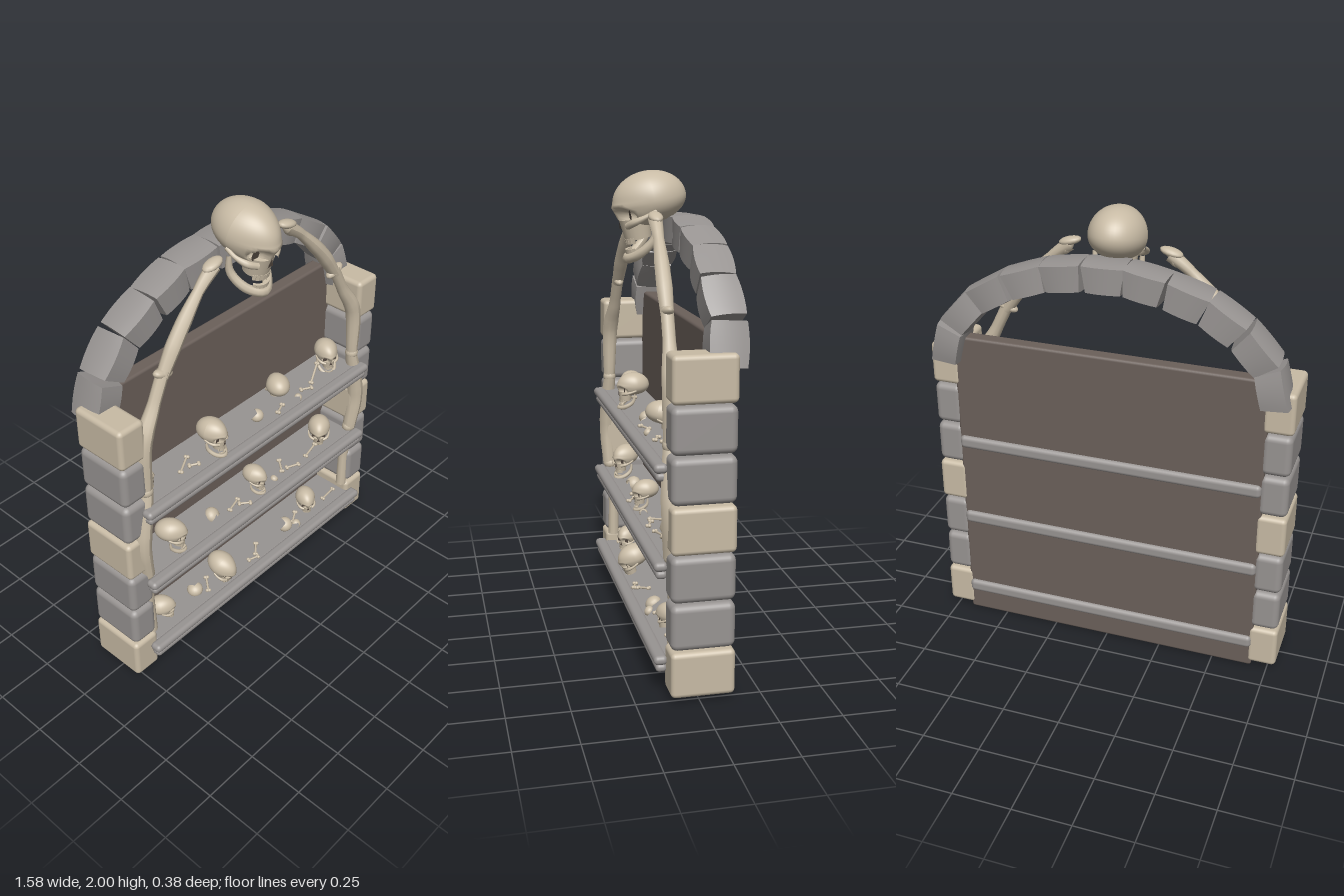
import * as THREE from 'three';
import { RoundedBoxGeometry } from 'three/addons/geometries/RoundedBoxGeometry.js';

const material = (name, color) => {
  const m = new THREE.MeshStandardMaterial({ color });
  m.name = name;
  return m;
};

export function createModel() {
  const root = new THREE.Group();
  root.name = 'boneShelf';
  const bone = material('bone', 0xc8bba5);
  const stone = material('grey stone', 0x989492);
  const panel = material('dark panel', 0x6b605a);
  const hollow = material('dark hollow', 0x554a42);
  hollow.side = THREE.DoubleSide;
  const shell = material('bone shard', 0xc8bba5);
  shell.side = THREE.DoubleSide;

  const add = (parent, name, geo, mat, x = 0, y = 0, z = 0) => {
    const m = new THREE.Mesh(geo, mat);
    m.name = name;
    m.position.set(x, y, z);
    parent.add(m);
    return m;
  };
  const vec = (p) => new THREE.Vector3(...p);

  // Tube whose radius follows a list of values along its path
  function limb(points, radii, segs = 24, sides = 10) {
    const curve = new THREE.CatmullRomCurve3(points.map(vec));
    const geo = new THREE.TubeGeometry(curve, segs, 1, sides);
    const pos = geo.attributes.position, v = new THREE.Vector3();
    for (let i = 0; i <= segs; i++) {
      const c = curve.getPointAt(i / segs);
      const f = (i / segs) * (radii.length - 1), k = Math.min(Math.floor(f), radii.length - 2);
      const r = THREE.MathUtils.lerp(radii[k], radii[k + 1], f - k);
      for (let j = 0; j <= sides; j++) {
        const n = i * (sides + 1) + j;
        v.fromBufferAttribute(pos, n).sub(c).multiplyScalar(r).add(c);
        pos.setXYZ(n, v.x, v.y, v.z);
      }
    }
    geo.computeVertexNormals();
    return geo;
  }

  // Cranium: sphere with narrowed brow, flat base and carved eye sockets
  const cranium = new THREE.SphereGeometry(1, 48, 32);
  {
    const p = cranium.attributes.position;
    for (let i = 0; i < p.count; i++) {
      const dx = p.getX(i), dy = p.getY(i), dz = p.getZ(i);
      const front = Math.max(dz, 0);
      const x = 0.5 * dx * (1 - 0.22 * front);
      const y = dy < 0 ? dy * (0.4 + 0.2 * front) : dy * 0.5;
      let z = 0.65 * dz;
      if (dz > 0.2) {
        const d = Math.hypot(Math.abs(x) - 0.19, y + 0.16) / 0.15;
        if (d < 1) z -= 0.22 * (1 - d * d);
        z += 0.03 * Math.exp(-(((y + 0.01) / 0.05) ** 2)) * Math.min(1, front * 1.2);
      }
      p.setXYZ(i, x, y, z);
    }
    cranium.computeVertexNormals();
  }
  const noseShape = new THREE.Shape([[0, 0.12], [0.075, -0.06], [0.02, -0.04], [-0.02, -0.04], [-0.075, -0.06]]
    .map(([x, y]) => new THREE.Vector2(x, y)));
  const nose = new THREE.ShapeGeometry(noseShape);
  const maxilla = new THREE.CylinderGeometry(0.27, 0.23, 0.36, 20);
  const jawBone = limb([[-0.42, -0.3, 0.05], [-0.39, -0.62, 0.12], [-0.25, -0.84, 0.4], [0, -0.9, 0.58],
    [0.25, -0.84, 0.4], [0.39, -0.62, 0.12], [0.42, -0.3, 0.05]], [0.04, 0.075, 0.085, 0.09, 0.085, 0.075, 0.04], 30, 8);
  const cheek = [-1, 1].map((s) => limb([[s * 0.2, -0.34, 0.5], [s * 0.36, -0.29, 0.4], [s * 0.45, -0.23, 0.2],
    [s * 0.45, -0.17, 0]], [0.06, 0.065, 0.04, 0.04], 14, 8));
  const tooth = new THREE.BoxGeometry(0.058, 0.1, 0.05);
  const socket = new THREE.CircleGeometry(0.12, 16);

  function skull(name, size, jaw) {
    const g = new THREE.Group();
    g.name = name;
    add(g, 'cranium', cranium, bone);
    add(g, 'upperJaw', maxilla, bone, 0, -0.42, 0.32);
    add(g, 'noseHollow', nose, hollow, 0, -0.34, 0.595);
    cheek.forEach((c, i) => {
      add(g, 'cheekbone', c, bone);
      add(g, 'eyeHollow', socket, hollow, i ? 0.19 : -0.19, -0.16, 0.42);
    });
    const teeth = (y, z, r) => {
      for (let i = -3.5; i <= 3.5; i++) {
        const a = i * 0.27;
        add(g, 'tooth', tooth, bone, Math.sin(a) * r, y, z + Math.cos(a) * r).rotation.y = a;
      }
    };
    teeth(-0.61, 0.32, 0.215);
    if (jaw) {
      add(g, 'lowerJaw', jawBone, bone);
      teeth(-0.79, 0.36, 0.2);
    }
    g.scale.setScalar(size);
    g.rotation.order = 'YXZ';
    root.add(g);
    return g;
  }

  // Back panel
  add(root, 'backPanel', new RoundedBoxGeometry(1.36, 1.41, 0.065, 2, 0.012), panel, 0, 0.705, -0.103);

  // Side pillars of stacked blocks
  const bigBlock = new RoundedBoxGeometry(0.13, 0.186, 0.255, 3, 0.02);
  const greyBlock = new RoundedBoxGeometry(0.126, 0.186, 0.255, 3, 0.028);
  for (const s of [-1, 1]) for (let i = 0; i < 7; i++) {
    const pale = i % 3 === 0;
    add(root, 'pillarBlock', pale ? bigBlock : greyBlock, pale ? bone : stone, s * 0.723, 0.115 + i * 0.193, -0.011);
  }

  // Shelves with a double rounded front rail
  const shelfTops = [0.165, 0.55, 0.94];
  for (const y of shelfTops) {
    add(root, 'shelfBoard', new RoundedBoxGeometry(1.35, 0.06, 0.285, 3, 0.02), stone, 0, y - 0.033, -0.01);
    add(root, 'shelfRailUpper', new RoundedBoxGeometry(1.41, 0.038, 0.055, 4, 0.018), stone, 0, y - 0.019, 0.138);
    add(root, 'shelfRailLower', new RoundedBoxGeometry(1.39, 0.034, 0.045, 4, 0.016), stone, 0, y - 0.054, 0.134);
  }

  // Arch stones spaced evenly along half an ellipse
  const archBlock = new THREE.BoxGeometry(0.158, 0.108, 0.14, 6, 2, 6);
  {
    const p = archBlock.attributes.position;
    for (let i = 0; i < p.count; i++) {
      const x = p.getX(i), y = p.getY(i), z = p.getZ(i);
      const u = x / 0.079, w = z / 0.07;
      p.setXYZ(i, x * (1 + y * 2), y + (y > 0 ? 1 : -1) * 0.008 * (1 - w * w), z * (1.08 - 0.1 * u * u));
    }
    archBlock.computeVertexNormals();
  }
  const arch = new THREE.EllipseCurve(0, 1.31, 0.7, 0.445, -0.03, Math.PI + 0.03);
  for (let i = 0; i < 11; i++) {
    const t = (i + 0.5) / 11, p = arch.getPointAt(t), d = arch.getTangentAt(t);
    const m = add(root, 'archStone', archBlock, stone, p.x, p.y, -0.108);
    m.rotation.order = 'ZYX';
    m.rotation.set(0, i % 2 ? 0.06 : -0.05, Math.atan2(-d.y, -d.x));
  }

  // Long bones climbing each pillar towards the top skull
  const ball = new THREE.SphereGeometry(1, 14, 10);
  for (const s of [-1, 1]) {
    const side = (pts) => pts.map(([x, y, z]) => [s * x, y, z]);
    const knob = (x, y, z, a, b, c, turn) => {
      const k = add(root, 'boneJoint', ball, bone, s * x, y, z);
      k.scale.set(a, b, c);
      k.rotation.z = s * turn;
    };
    add(root, 'forearmBone', limb(side([[0.21, 1.81, 0.055], [0.29, 1.75, 0.06], [0.43, 1.6, 0.07], [0.52, 1.47, 0.075]]),
      [0.03, 0.022, 0.03, 0.032, 0.026]), bone);
    add(root, 'upperArmBone', limb(side([[0.51, 1.5, 0.075], [0.58, 1.36, 0.08], [0.645, 1.24, 0.09], [0.655, 1, 0.095]]),
      [0.026, 0.026, 0.036, 0.032, 0.026]), bone);
    add(root, 'thighBone', limb(side([[0.65, 1, 0.095], [0.675, 0.88, 0.1], [0.695, 0.73, 0.1], [0.675, 0.56, 0.095]]),
      [0.026, 0.034, 0.038, 0.036, 0.03]), bone);
    add(root, 'shinBone', limb(side([[0.675, 0.56, 0.09], [0.665, 0.4, 0.08], [0.66, 0.2, 0.08]]), [0.03, 0.024, 0.026]), bone);
    knob(0.215, 1.82, 0.055, 0.05, 0.018, 0.03, -0.25);
    knob(0.225, 1.795, 0.055, 0.022, 0.04, 0.025, 0.5);
    knob(0.515, 1.485, 0.075, 0.05, 0.02, 0.025, 0.35);
    knob(0.655, 1.0, 0.095, 0.03, 0.03, 0.03, 0);
    knob(0.675, 0.56, 0.093, 0.034, 0.03, 0.03, 0);
  }

  // Large skull crowning the arch
  const top = skull('crownSkull', 0.24, true);
  top.position.set(0, 1.875, 0.035);
  top.rotation.x = 0.2;

  // Small skulls: x, z, top height, size, yaw, pitch, jaw
  [[-0.6, 0, 1.035, 0.09, 0.6, -0.1, false], [-0.24, 0.06, 1.1, 0.112, 0.1, 0, true],
    [0.21, 0.03, 1.07, 0.105, 2.6, 0.1, false], [0.56, 0.02, 1.075, 0.105, -0.5, 0.05, true],
    [-0.49, 0.05, 0.7, 0.108, 0.6, 0.05, true], [0.03, 0.06, 0.68, 0.092, 0.15, 0.05, true],
    [0.51, 0.04, 0.67, 0.105, -0.9, 0.1, false], [-0.55, 0.03, 0.27, 0.095, 0.8, 0, false],
    [-0.2, 0.07, 0.302, 0.115, 0.1, 0.35, false], [0.43, 0.04, 0.272, 0.095, -0.6, 0.1, false],
  ].forEach(([x, z, y, size, yaw, pitch, jaw]) => {
    const g = skull('smallSkull', size, jaw);
    g.position.set(x, y - size * 0.5, z);
    g.rotation.set(pitch, yaw, 0);
  });

  // Loose bones: shelf, x, z, length, turn, lift
  const shaft = new THREE.CylinderGeometry(0.005, 0.005, 1, 8);
  [[2, -0.4, 0.05, 0.09, 0.5, 0.1], [2, -0.37, 0.08, 0.04, -0.6, 0.1], [2, 0.16, 0.09, 0.06, 0.4, 0], [2, 0.44, 0.05, 0.1, 0.4, 0.5],
    [2, 0.35, 0.08, 0.05, -0.5, 0], [1, -0.64, 0.06, 0.05, 0.6, 0], [1, -0.12, 0.07, 0.08, 0.3, 0], [1, -0.08, 0.1, 0.05, -0.7, 0],
    [1, 0.22, 0.05, 0.07, 0.9, 0.1], [1, 0.26, 0.09, 0.06, -0.4, 0], [1, 0.4, 0.08, 0.09, 0.2, 0.1], [0, -0.29, 0.06, 0.07, 0.9, 0.2],
    [0, 0.03, 0.07, 0.06, 0.7, 0.2], [0, -0.02, 0.1, 0.05, -0.3, 0], [0, 0.32, 0.06, 0.06, 0.5, 0.2], [0, 0.57, 0.07, 0.09, 0.1, 0],
  ].forEach(([k, x, z, len, turn, lift]) => {
    const g = new THREE.Group();
    g.name = 'looseBone';
    const m = add(g, 'shaft', shaft, bone);
    m.scale.y = len;
    m.rotation.z = Math.PI / 2;
    for (const s of [-1, 1]) for (const q of [-1, 1])
      add(g, 'boneEnd', ball, bone, s * len / 2, 0, q * 0.005).scale.setScalar(0.008);
    g.position.set(x, shelfTops[k] + 0.008 + Math.sin(lift) * len / 2, z);
    g.rotation.set(0, turn, lift, 'YXZ');
    root.add(g);
  });

  // Broken skull shards
  const shard = new THREE.SphereGeometry(1, 12, 8, 0, 4.4, 0, 1.7);
  [[2, 0.04, 0.06, 0.03], [2, 0.27, 0.1, 0.018], [1, -0.25, 0.06, 0.036], [1, 0.13, 0.09, 0.018],
    [0, -0.36, 0.05, 0.036], [0, 0.24, 0.07, 0.036], [0, 0.29, 0.1, 0.022],
  ].forEach(([k, x, z, r], i) => {
    const m = add(root, 'skullShard', shard, shell, x, shelfTops[k] + r * 0.75, z);
    m.scale.set(r, r * 0.85, r);
    m.rotation.set(0.5, i * 1.3, 0.4);
  });

  return root;
}
